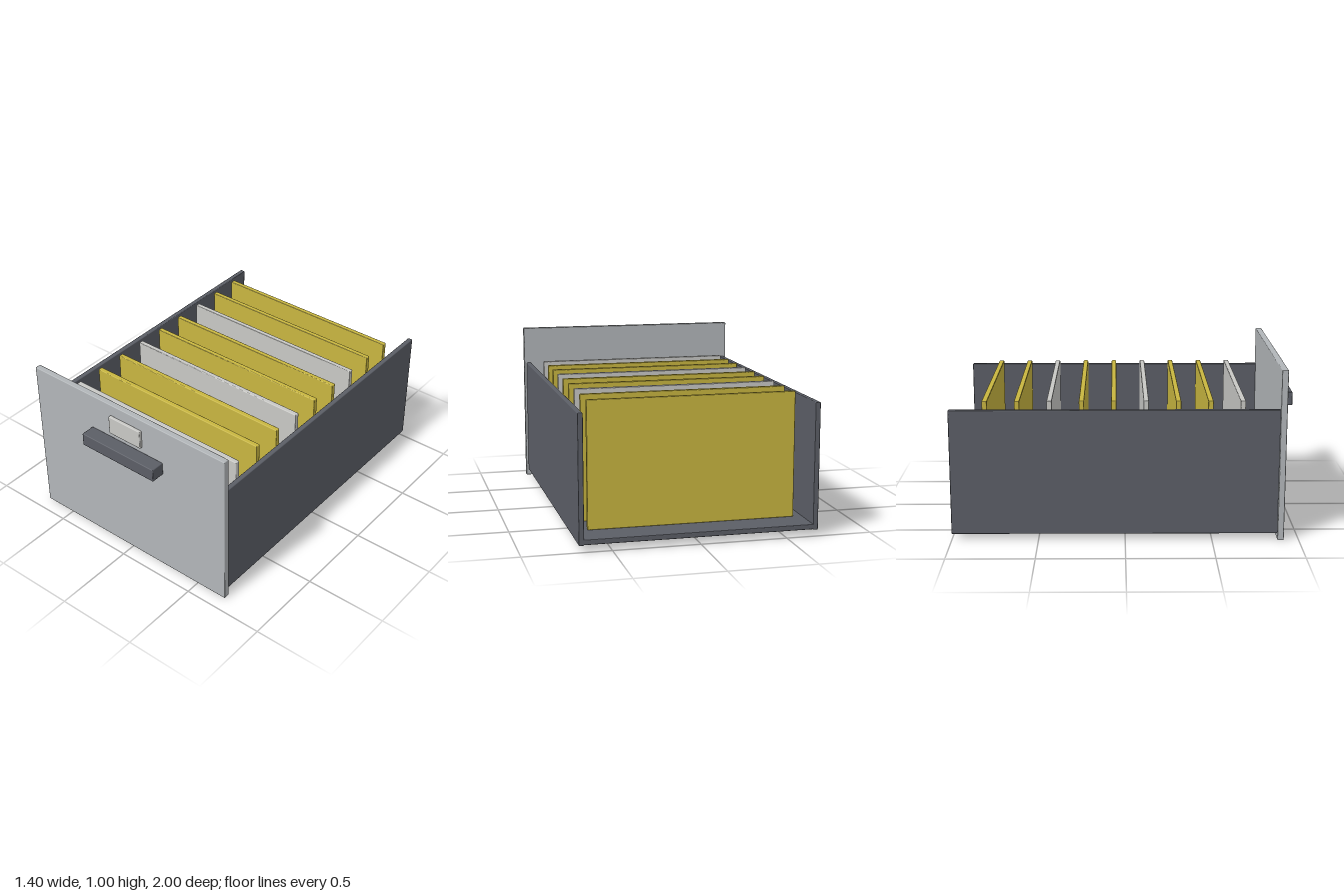
import * as THREE from 'three';
import { RoundedBoxGeometry } from 'three/addons/geometries/RoundedBoxGeometry.js';

const material = (name, color) => {
  const m = new THREE.MeshStandardMaterial({ color });
  m.name = name;
  return m;
};

export function createModel() {
  const drawer = new THREE.Group();
  drawer.name = 'fileDrawer';

  const panelGrey = material('panelGrey', 0xb2b6b9);
  const darkSteel = material('darkSteel', 0x5b5e66);
  const folderYellow = material('folderYellow', 0xc8b640);
  const paperGrey = material('paperGrey', 0xc8c8c5);

  // Softly bevelled box given by its extents on each axis
  const box = (name, mat, [x0, x1], [y0, y1], [z0, z1]) => {
    const geometry = new RoundedBoxGeometry(x1 - x0, y1 - y0, z1 - z0, 1, 0.005);
    const mesh = new THREE.Mesh(geometry, mat);
    mesh.name = name;
    mesh.position.set((x0 + x1) / 2, (y0 + y1) / 2, (z0 + z1) / 2);
    drawer.add(mesh);
  };

  // Front panel with its handle and label plate
  box('frontPanel', panelGrey, [-0.7, 0.7], [0, 1], [0.877, 0.914]);
  box('handle', darkSteel, [-0.265, 0.265], [0.697, 0.778], [0.914, 1]);
  box('labelPlate', paperGrey, [-0.116, 0.116], [0.813, 0.929], [0.912, 0.933]);

  // Open-backed tray: floor and two side walls
  box('floor', darkSteel, [-0.67, 0.67], [0.04, 0.07], [-1, 0.88]);
  box('leftWall', darkSteel, [0.655, 0.685], [0.037, 0.768], [-1, 0.88]);
  box('rightWall', darkSteel, [-0.685, -0.655], [0.037, 0.768], [-1, 0.88]);

  // Row of hanging folders, every third one grey, from front to back
  for (let i = 0; i < 9; i++) {
    const z = 0.674 - i * 0.1845;
    const mat = i % 3 === 0 ? paperGrey : folderYellow;
    box(`folder${i + 1}`, mat, [-0.602, 0.602], [0.07, 0.803], [z - 0.015, z + 0.015]);
  }

  return drawer;
}
